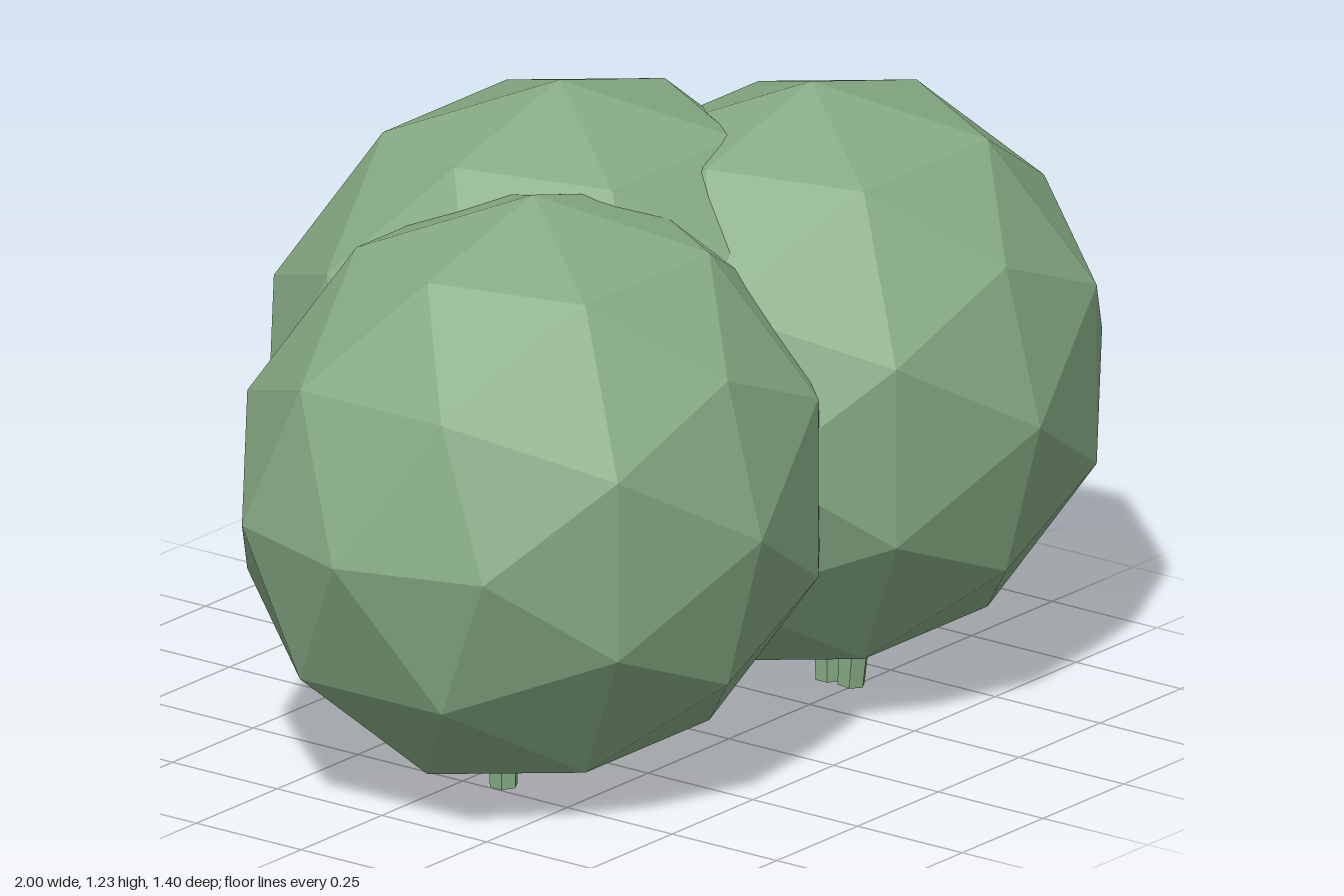
import * as THREE from 'three';

export function createModel() {
  const model = new THREE.Group();
  model.name = 'bush';
  const leafGreen = new THREE.MeshStandardMaterial({ color: 0x86ab84, flatShading: true });
  leafGreen.name = 'leaf green';

  function add(name, geometry, position) {
    const mesh = new THREE.Mesh(geometry, leafGreen);
    mesh.name = name;
    mesh.position.set(...position);
    model.add(mesh);
    return mesh;
  }

  // Faceted foliage clumps, slightly wider than tall
  const clump = new THREE.IcosahedronGeometry(1, 1).scale(0.62, 0.578, 0.547);
  add('leftClump', clump, [0.38, 0.615, 0.153]);
  add('rightClump', clump, [-0.38, 0.58, 0.075]);
  add('backClump', clump, [0, 0.657, -0.155]);

  // Short stems poking out underneath
  const stem = new THREE.CylinderGeometry(0.033, 0.028, 0.16, 6);
  const stems = [
    ['leftFrontStem', 0.375, 0.26, 0.1],
    ['leftInnerStem', 0.375, 0.2, 0],
    ['rightStem', -0.49, 0.09, 0],
  ];
  for (const [name, x, z, lean] of stems) {
    add(name, stem, [x, 0.09, z]).rotation.x = lean;
  }
  return model;
}
